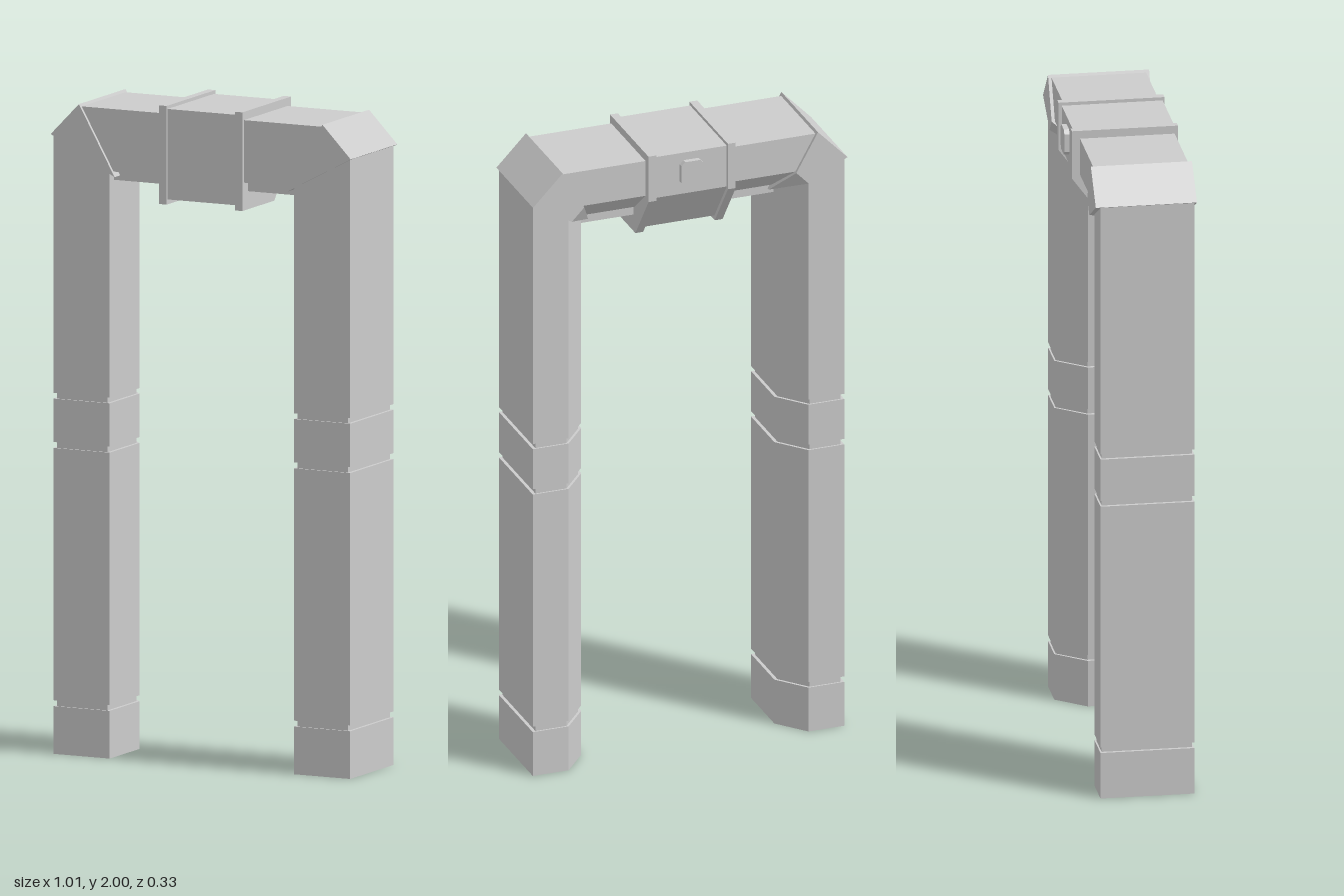
import * as THREE from 'three';

const material = new THREE.MeshStandardMaterial({ color: 0xcccccc, flatShading: true, side: THREE.DoubleSide });

// Skin a row of matching rings of [x, y, z] points, with flat caps
function loft(name, rings, capStart = true) {
  const tris = [];
  const n = rings[0].length;
  for (let i = 0; i < rings.length - 1; i++) {
    for (let j = 0; j < n; j++) {
      const k = (j + 1) % n;
      const [a, b, c, d] = [rings[i][j], rings[i][k], rings[i + 1][k], rings[i + 1][j]];
      tris.push([a, b, c], [a, c, d]);
    }
  }
  const first = rings[0], last = rings[rings.length - 1];
  for (let j = 1; j < n - 1; j++) {
    if (capStart) tris.push([first[0], first[j + 1], first[j]]);
    tris.push([last[0], last[j], last[j + 1]]);
  }
  // Turn the faces outwards when the enclosed volume is negative
  const v = (p) => new THREE.Vector3(...p);
  const volume = tris.reduce((sum, [a, b, c]) => sum + v(a).dot(v(b).cross(v(c))), 0);
  if (volume < 0) tris.forEach((t) => t.reverse());

  const geometry = new THREE.BufferGeometry();
  geometry.setAttribute('position', new THREE.Float32BufferAttribute(tris.flat(2), 3));
  geometry.computeVertexNormals();
  const mesh = new THREE.Mesh(geometry, material);
  mesh.name = name;
  return mesh;
}

// Five-sided section in the y-z plane: flat front, chamfered lower back edge
const beamSection = (top, bottom, front, back, chamferY, chamferZ) => [
  [top, front], [bottom, front], [bottom, chamferZ], [chamferY, back], [top, back],
];

// Prism along x from x0 to x1
const prism = (name, section, x0, x1) =>
  loft(name, [x0, x1].map((x) => section.map(([y, z]) => [x, y, z])));

// Mitre lines of the corners, both starting at the inner pivot
const PIVOT = [0.29, 1.77], LEG_END = [0.505, 1.885], BEAM_END = [0.41, 1.983];
const legTop = (x) => PIVOT[1] + (x - PIVOT[0]) * (LEG_END[1] - PIVOT[1]) / (LEG_END[0] - PIVOT[0]);
const beamEnd = (y) => PIVOT[0] + (y - PIVOT[1]) * (BEAM_END[0] - PIVOT[0]) / (BEAM_END[1] - PIVOT[1]);

// Hollow leg with three grooves, its top cut to the mitre
function leg(side) {
  const ring = (inset, height) => [
    [0.5 - inset, 0.155 - inset / 2],
    [0.31 + inset, 0.155 - inset / 2],
    [0.31 + inset, -0.04],
    [0.385 + inset / 2, -0.13 + inset / 2],
    [0.5 - inset, -0.13 + inset / 2],
  ].map(([x, z]) => [side * x, height ?? legTop(x), z]);

  const rings = [ring(0, 0)];
  for (const [low, high] of [[0.145, 0.163], [0.93, 0.948], [1.08, 1.097]]) {
    rings.push(ring(0, low), ring(0.01, low), ring(0.01, high), ring(0, high));
  }
  rings.push(ring(0));
  return loft('leg', rings, false);
}

// Wedge between the two mitre lines
function corner(side) {
  const ring = (end) => [[0, 0.162], [1, 0.162], [1, -0.045], [0.58, -0.145], [0, -0.145]]
    .map(([t, z]) => [
      side * THREE.MathUtils.lerp(end[0], PIVOT[0], t),
      THREE.MathUtils.lerp(end[1], PIVOT[1], t),
      z,
    ]);
  return loft('corner', [ring(LEG_END), ring(BEAM_END)]);
}

export function createModel() {
  const group = new THREE.Group();

  for (const side of [-1, 1]) {
    group.add(leg(side), corner(side));
    // Raised rim of the collar
    group.add(prism('collarRim', beamSection(2, 1.70, 0.162, -0.16, 1.85, -0.05), side * 0.115, side * 0.14));
  }

  // Crossbeam with mitred ends
  const beam = beamSection(1.975, 1.785, 0.152, -0.135, 1.86, -0.045);
  group.add(loft('crossbeam', [-1, 1].map((s) => beam.map(([y, z]) => [s * beamEnd(y), y, z]))));

  // Strip under the crossbeam
  const strip = new THREE.Mesh(new THREE.BoxGeometry(0.62, 0.04, 0.16), material);
  strip.position.set(0, 1.775, 0.045);
  strip.name = 'undersideStrip';
  group.add(strip);

  // Collar around the middle
  group.add(prism('collar', beamSection(1.99, 1.715, 0.156, -0.15, 1.855, -0.047), -0.115, 0.115));

  // Button on the back, with cut corners
  const w = 0.036, h = 0.04, c = 0.012;
  const outline = [
    [w, h - c], [w - c, h], [c - w, h], [-w, h - c],
    [-w, c - h], [c - w, -h], [w - c, -h], [w, c - h],
  ];
  group.add(loft('backButton', [-0.148, -0.166].map((z) => outline.map(([x, y]) => [x, 1.925 + y, z]))));

  return group;
}
